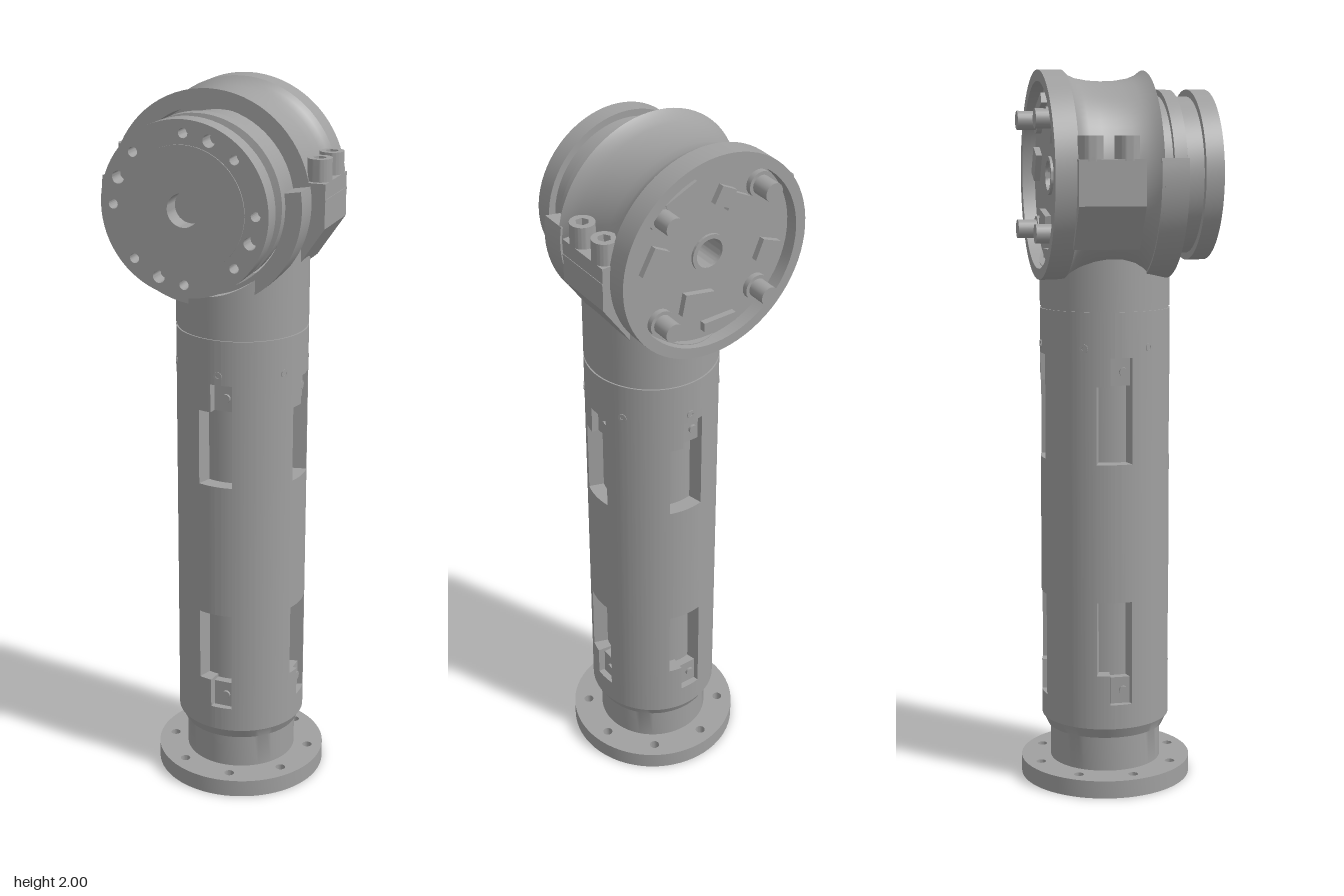
import * as THREE from 'three';
import { toCreasedNormals } from 'three/addons/utils/BufferGeometryUtils.js';

const TAU = Math.PI * 2, DEG = Math.PI / 180;

export function createModel() {
  const metal = new THREE.MeshStandardMaterial({ color: 0xa0a0a0 });
  metal.name = 'machined grey';

  const add = (parent, name, geo, x = 0, y = 0, z = 0) => {
    const m = new THREE.Mesh(geo, metal);
    m.name = name;
    m.position.set(x, y, z);
    parent.add(m);
    return m;
  };
  const group = (parent, name, x, y, z) => {
    const g = new THREE.Group();
    g.name = name;
    g.position.set(x, y, z);
    parent.add(g);
    return g;
  };
  const lathe = (pts) =>
    toCreasedNormals(new THREE.LatheGeometry(pts.map(p => new THREE.Vector2(...p)), 72), 0.45);
  const loop = (x, y, r, n) => Array.from({ length: n }, (_, i) =>
    new THREE.Vector2(x + r * Math.cos(i / n * TAU), y + r * Math.sin(i / n * TAU)));
  const extrude = (shape, depth) => toCreasedNormals(
    new THREE.ExtrudeGeometry(shape, { depth, bevelEnabled: false, curveSegments: 24 }), 0.45);
  // Round plate along z; each hole is [x, y, radius, sides]
  const plate = (r, depth, holes) => {
    const s = new THREE.Shape(loop(0, 0, r, 72));
    holes.forEach(([x, y, hr, n = 18]) => s.holes.push(new THREE.Path(loop(x, y, hr, n))));
    return extrude(s, depth);
  };
  const holeCircle = (n, radius, r, start = 0) => Array.from({ length: n }, (_, i) => {
    const a = start + i / n * TAU;
    return [radius * Math.cos(a), radius * Math.sin(a), r];
  });
  // Curved wall piece between two angles
  const sector = (r0, r1, a0, a1, depth) => {
    const s = new THREE.Shape();
    s.absarc(0, 0, r1, a0, a1, false);
    s.absarc(0, 0, r0, a1, a0, true);
    return extrude(s, depth);
  };
  const cyl = (r, h, n = 20) => new THREE.CylinderGeometry(r, r, h, n);

  const model = new THREE.Group();
  model.name = 'roboticArmLink';
  const turn = -0.37;

  // ---- Column ----
  const column = group(model, 'column', 0.047, 0, 0);
  column.rotation.y = turn;

  // Mounting flange with bolt circles
  add(column, 'baseFlange', plate(0.243, 0.05, [
    [0, 0, 0.062, 32], ...holeCircle(6, 0.112, 0.027), ...holeCircle(8, 0.2, 0.014, 0.2),
  ]).rotateX(-Math.PI / 2));
  add(column, 'baseNeck', lathe([
    [0, 0.045], [0.158, 0.045], [0.158, 0.15], [0.166, 0.15], [0.182, 0.185], [0.13, 0.185],
  ]));
  add(column, 'innerCore', cyl(0.14, 1.2, 48), 0, 0.77, 0);
  add(column, 'seamRing', cyl(0.178, 0.03, 72), 0, 1.358, 0);

  // Tube wall in strips, leaving stepped slots on four sides
  const strips = [
    [-19, -7, [[0.18, 0.335], [0.545, 0.935], [1.15, 1.355]]],
    [-7, 12.7, [[0.18, 0.25], [0.545, 0.935], [1.23, 1.355]]],
    [12.7, 71, [[0.18, 1.355]]],
  ];
  for (let k = 0; k < 4; k++) {
    for (const [t0, t1, spans] of strips) {
      for (const [y0, y1] of spans) {
        const wall = sector(0.14, 0.182, (t0 - 90 + 90 * k) * DEG, (t1 - 90 + 90 * k) * DEG, y1 - y0);
        add(column, 'tubeWall', wall.rotateX(-Math.PI / 2), 0, y0, 0);
      }
    }
    // Screw tabs inside the slots
    const tabs = group(column, 'slotTabs', 0, 0, 0);
    tabs.rotation.y = k * Math.PI / 2;
    for (const y of [0.288, 1.19]) {
      add(tabs, 'slotTab', new THREE.BoxGeometry(0.055, 0.076, 0.03), 0.01, y, 0.148);
      add(tabs, 'slotScrew', cyl(0.012, 0.008).rotateX(Math.PI / 2), 0.018, y, 0.166);
    }
  }
  // Ring of small screws below the seam
  for (let i = 0; i < 6; i++) {
    const a = i * TAU / 6;
    const s = add(column, 'collarScrew', plate(0.012, 0.006, [[0, 0, 0.006, 6]]),
      0.178 * Math.sin(a), 1.255, 0.178 * Math.cos(a));
    s.rotation.y = a;
  }
  // Collar whose top edge follows the round housing
  const collar = cyl(0.182, 0.1, 72).translate(0, 1.412, 0);
  const p = collar.attributes.position;
  for (let i = 0; i < p.count; i++) {
    if (p.getY(i) < 1.4) continue;
    const u = p.getX(i) + 0.061;
    p.setY(i, 1.72 - Math.sqrt(Math.max(0, 0.25 ** 2 - u * u)));
  }
  add(column, 'upperCollar', collar);

  // ---- Head, with its own axis along z ----
  const head = group(model, 'head', -0.018, 1.72, 0);
  head.rotation.y = turn;
  const axial = (pts) => lathe(pts).rotateX(Math.PI / 2);

  add(head, 'housing', axial([
    [0, -0.1], [0.04, -0.1], [0.04, -0.187], [0.252, -0.187], [0.252, -0.223], [0.282, -0.223],
    [0.282, -0.16], [0.27, -0.148], [0.26, -0.125], [0.254, -0.09], [0.252, -0.05], [0.254, -0.01],
    [0.26, 0.025], [0.27, 0.05], [0.282, 0.066], [0.237, 0.066], [0.237, -0.015], [0.2, -0.015],
  ]));
  add(head, 'lowerGuard', sector(0.237, 0.282, Math.PI - 0.17, TAU + 0.17, 0.074), 0, 0, 0.058);

  // Rotating output with grooves and drilled face
  add(head, 'outputHub', axial([
    [0, -0.02], [0.215, -0.02], [0.215, 0.105], [0.231, 0.105], [0.231, 0.14],
    [0.213, 0.145], [0.213, 0.19], [0, 0.19],
  ]));
  add(head, 'outputDisc', plate(0.232, 0.05, [
    [0, 0, 0.045, 32], ...holeCircle(8, 0.197, 0.013), ...holeCircle(4, 0.195, 0.017, 1.2),
  ]), 0, 0, 0.19);
  add(head, 'outputFace', plate(0.168, 0.004, [[0, 0, 0.045, 32]]), 0, 0, 0.239);

  // Clamp blocks and their bolts on both sides
  for (const side of [1, -1]) {
    const clamp = group(head, side > 0 ? 'leftClamp' : 'rightClamp', 0, 0, 0);
    clamp.rotation.z = 0;
    const outline = [[0.225, 0.045], [0.225, -0.19], [0.245, -0.16], [0.303, -0.075], [0.303, 0.045]]
      .map(([x, y]) => new THREE.Vector2(x * side, y));
    add(clamp, 'clampBlock', extrude(new THREE.Shape(outline), 0.178), 0, 0, -0.166);
    add(clamp, 'clampSeam', new THREE.BoxGeometry(0.003, 0.006, 0.178), side * 0.303, 0, -0.077);
    for (const z of [-0.13, -0.033]) {
      const bolt = group(clamp, 'clampBolt', side * 0.272, 0.04, z);
      add(bolt, 'boltHead', plate(0.033, 0.065, [[0, 0, 0.018, 6]]).rotateX(-Math.PI / 2));
      add(bolt, 'boltSocket', cyl(0.022, 0.03), 0, 0.02, 0);
    }
  }

  // Rear electronics: posts, board and components
  for (const x of [-0.15, 0.15]) {
    for (const y of [-0.15, 0.15]) {
      add(head, 'rearPost', cyl(0.026, 0.08).rotateX(Math.PI / 2), x, y, -0.215);
      add(head, 'postBase', cyl(0.036, 0.02).rotateX(Math.PI / 2), x, y, -0.192);
    }
  }
  const chips = [
    [0.17, 0.03, 0.05, 0.08, 0.5], [0.04, -0.13, 0.09, 0.06, 0.2], [-0.08, 0.12, 0.05, 0.05, 0.5],
    [-0.04, 0.15, 0.05, 0.05, 0.5], [-0.18, -0.05, 0.06, 0.06, 0.4], [0.09, 0.19, 0.1, 0.03, -0.4],
    [-0.03, -0.21, 0.1, 0.025, 0],
  ];
  for (const [x, y, w, h, a] of chips) {
    add(head, 'boardComponent', new THREE.BoxGeometry(w, h, 0.02), x, y, -0.194).rotation.z = a;
  }
  add(head, 'rearBoreRing', plate(0.052, 0.008, [[0, 0, 0.04, 32]]), 0, 0, -0.194);

  return model;
}
